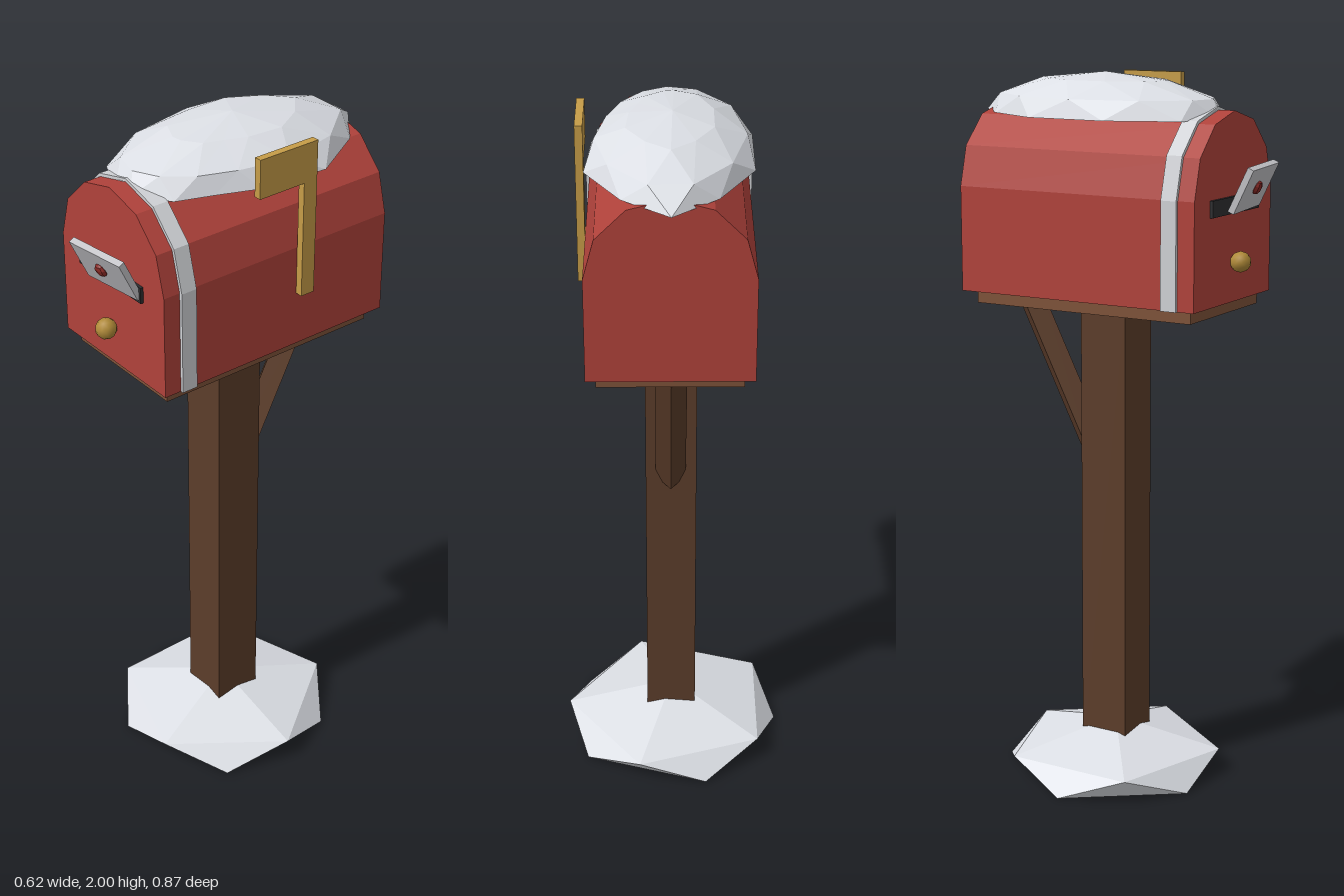
import * as THREE from 'three';

const mat = (name, color) => {
  const m = new THREE.MeshStandardMaterial({ color });
  m.name = name;
  return m;
};

// Faceted copy of a geometry: every face gets its own normal
function flat(geo) {
  const g = geo.index ? geo.toNonIndexed() : geo;
  g.computeVertexNormals();
  return g;
}

// Faceted mound from closed rings (listed bottom to top, turning from +z to +x), an apex and a floor
function mound(rings, apex) {
  const pos = [];
  const tri = (a, b, c) => pos.push(...a, ...b, ...c);
  const n = rings[0].length;
  const floor = [0, 1, 2].map(k => rings[0].reduce((s, p) => s + p[k], 0) / n);
  for (let i = 0; i < n; i++) {
    const j = (i + 1) % n;
    tri(floor, rings[0][j], rings[0][i]);
    for (let r = 0; r + 1 < rings.length; r++) {
      const lo = rings[r], hi = rings[r + 1];
      // even rings meet the next ring half a step ahead, odd rings half a step behind
      if (r % 2 === 0) {
        tri(lo[i], lo[j], hi[i]);
        tri(lo[j], hi[j], hi[i]);
      } else {
        tri(lo[i], hi[j], hi[i]);
        tri(lo[i], lo[j], hi[j]);
      }
    }
    const top = rings[rings.length - 1];
    tri(top[i], top[j], apex);
  }
  const g = new THREE.BufferGeometry();
  g.setAttribute('position', new THREE.Float32BufferAttribute(pos, 3));
  g.computeVertexNormals();
  return g;
}

// Arched box section: straight sides with a six-sided half round on top
function archPoints(r) {
  const pts = [new THREE.Vector2(-r, 1.4), new THREE.Vector2(r, 1.4)];
  for (let i = 0; i <= 6; i++) {
    const a = (i * Math.PI) / 6;
    pts.push(new THREE.Vector2(r * Math.cos(a), 1.69 + r * Math.sin(a)));
  }
  return pts;
}

export function createModel() {
  const group = new THREE.Group();
  const red = mat('red paint', 0xb0423b);
  const darkWood = mat('dark wood', 0x5c3d2a);
  const wood = mat('wood', 0x7e5239);
  const yellow = mat('flag yellow', 0xc69c48);
  const brass = mat('brass', 0xb08a38);
  const steel = mat('steel', 0xd0d2d6);
  const snow = mat('snow', 0xdcdfe5);
  const paper = mat('paper', 0xc4c4c8);
  const wax = mat('wax', 0x8a2a26);
  const black = mat('slot black', 0x2e2e30);

  const add = (name, geo, material, x = 0, y = 0, z = 0) => {
    const m = new THREE.Mesh(geo, material);
    m.name = name;
    m.position.set(x, y, z);
    group.add(m);
    return m;
  };
  // Box given by its two extreme corners
  const box = (name, material, [x0, y0, z0], [x1, y1, z1]) =>
    add(name, new THREE.BoxGeometry(x1 - x0, y1 - y0, z1 - z0), material,
      (x0 + x1) / 2, (y0 + y1) / 2, (z0 + z1) / 2);

  // Snow heap at the foot: two opposed pentagons and a peak
  const pentagon = (y, start) => Array.from({ length: 5 }, (_, i) => {
    const a = start + (i * Math.PI * 2) / 5;
    return [0.312 * Math.sin(a), y, 0.312 * Math.cos(a) - 0.015];
  });
  const half = Math.PI / 5;
  add('baseSnow', mound([pentagon(0, -Math.PI / 2), pentagon(0.067, -Math.PI / 2 + half)],
    [0, 0.145, -0.01]), snow);

  // Post, shelf and diagonal brace
  box('post', darkWood, [-0.067, 0.03, -0.081], [0.075, 1.37, 0.061]);
  box('shelf', wood, [-0.185, 1.365, -0.345], [0.2, 1.402, 0.328]);
  const a = new THREE.Vector3(0.005, 0.912, -0.064);
  const b = new THREE.Vector3(0.005, 1.385, -0.304);
  const brace = add('brace', flat(new THREE.CylinderGeometry(0.042, 0.042, a.distanceTo(b), 4)), darkWood);
  brace.position.copy(a).lerp(b, 0.5);
  brace.quaternion.setFromUnitVectors(new THREE.Vector3(0, 1, 0), b.clone().sub(a).normalize());

  // Mailbox body and the metal band around it
  add('body', new THREE.ExtrudeGeometry(new THREE.Shape(archPoints(0.219)),
    { depth: 0.73, bevelEnabled: false }), red, 0.007, 0, -0.378);
  const ring = new THREE.Shape(archPoints(0.228));
  ring.holes.push(new THREE.Path(archPoints(0.215).map(p => p.setY(Math.max(p.y, 1.402)))));
  add('band', new THREE.ExtrudeGeometry(ring, { depth: 0.046, bevelEnabled: false }), steel, 0.007, 0, 0.257);

  // Mail slot, letter with its seal, and knob
  box('mailSlot', black, [-0.127, 1.64, 0.345], [0.14, 1.685, 0.361]);
  const letter = add('letter', new THREE.BoxGeometry(0.19, 0.13, 0.018), paper, 0.04, 1.708, 0.394);
  letter.rotation.set(0.45, 0.1, -0.02);
  const seal = new THREE.Mesh(flat(new THREE.SphereGeometry(0.02, 8, 5)), wax);
  seal.name = 'seal';
  seal.position.set(-0.005, 0.004, 0.011);
  seal.scale.z = 0.6;
  letter.add(seal);
  add('knob', new THREE.IcosahedronGeometry(0.029, 1), brass, 0.005, 1.51, 0.376);

  // Signal flag on the left side
  box('flagArm', yellow, [0.227, 1.555, -0.117], [0.248, 1.99, -0.075]);
  box('flagPlate', yellow, [0.227, 1.882, -0.075], [0.248, 1.99, 0.068]);

  // Snow cap on the roof: an uneven outline shrinking toward the peak
  const outline = [
    [-0.015, 0.318], [0.04, 0.31], [0.13, 0.245], [0.165, 0.145], [0.21, 0.03], [0.226, -0.165],
    [0.13, -0.33], [0.005, -0.432], [-0.115, -0.325], [-0.21, -0.155], [-0.21, 0.075], [-0.13, 0.265],
  ];
  const cx = 0.005, cz = -0.04;
  const shrink = (s, y, shift) => outline.map((p, i) => {
    const q = outline[(i + 1) % outline.length];
    const x = shift ? (p[0] + q[0]) / 2 : p[0];
    const z = shift ? (p[1] + q[1]) / 2 : p[1];
    return [cx + (x - cx) * s, y, cz + (z - cz) * s];
  });
  add('roofSnow', mound([shrink(1, 1.885, false), shrink(0.92, 1.936, true), shrink(0.52, 1.98, false)],
    [0.0, 2.0, cz]), snow);

  return group;
}
